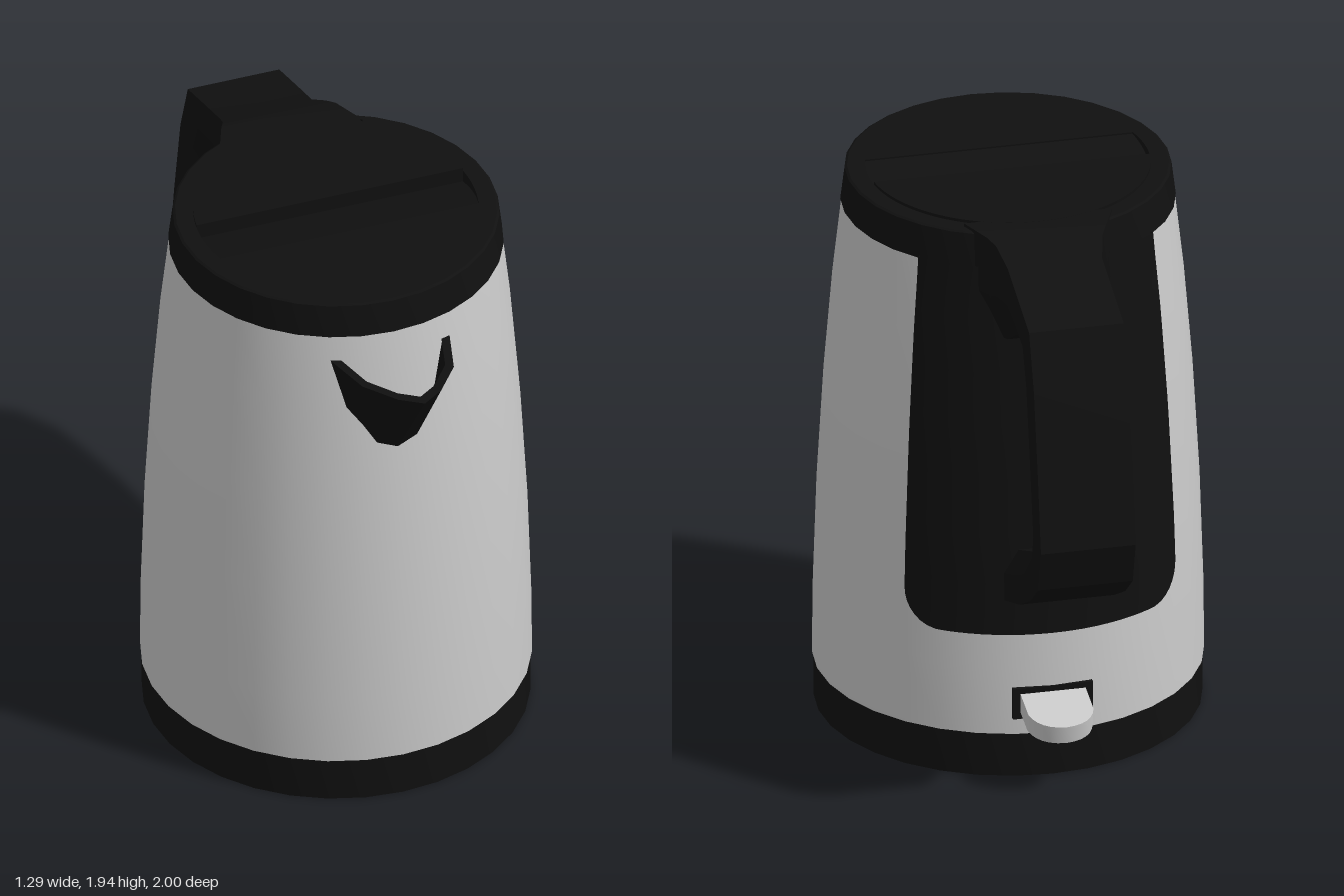
import * as THREE from 'three';
import { toCreasedNormals } from 'three/addons/utils/BufferGeometryUtils.js';

const steel = new THREE.MeshStandardMaterial({ color: 0xcccccc, side: THREE.DoubleSide });
const black = new THREE.MeshStandardMaterial({ color: 0x101010, side: THREE.DoubleSide });
const AXIS_Z = 0.15; // the round body sits forward of the centre

// Outer wall of the jug as [radius, height]
const wall = [[0.645, 0.155], [0.643, 0.4], [0.63, 0.8], [0.607, 1.2], [0.578, 1.55], [0.549, 1.81]];

function wallRadius(y) {
  for (let i = 1; i < wall.length; i++) {
    const [r0, y0] = wall[i - 1], [r1, y1] = wall[i];
    if (y <= y1) return r0 + (r1 - r0) * (y - y0) / (y1 - y0);
  }
  return wall[wall.length - 1][0];
}

// Skin a list of equally long rows of [x, y, z] points
function skin(rows, crease = 0.5) {
  const n = rows[0].length, index = [];
  for (let i = 0; i < rows.length - 1; i++) {
    for (let j = 0; j < n - 1; j++) {
      const a = i * n + j, b = a + n;
      index.push(a, b, a + 1, b, b + 1, a + 1);
    }
  }
  const g = new THREE.BufferGeometry();
  g.setAttribute('position', new THREE.Float32BufferAttribute(rows.flat(2), 3));
  g.setIndex(index);
  return toCreasedNormals(g, crease);
}

function lathe(points) {
  const g = new THREE.LatheGeometry(points.map(([r, y]) => new THREE.Vector2(r, y)), 32);
  return toCreasedNormals(g, 0.5).translate(0, 0, AXIS_Z);
}

// Horizontal slab; the shape's y runs towards the back
function slab(shape, y0, y1) {
  const g = new THREE.ExtrudeGeometry(shape, { depth: y1 - y0, bevelEnabled: false, curveSegments: 32 });
  return toCreasedNormals(g.rotateX(-Math.PI / 2), 0.5).translate(0, y0, AXIS_Z);
}

export function createModel() {
  const model = new THREE.Group();
  const add = (name, geometry, material) => {
    const mesh = new THREE.Mesh(geometry, material);
    mesh.name = name;
    model.add(mesh);
    return mesh;
  };

  // Base, steel jug and collar
  add('base', lathe([[0, 0], [0.64, 0], [0.64, 0.16], [0.6, 0.16]]), black);
  add('jug', lathe([[0.6, 0.155], ...wall]), steel);
  add('collar', lathe([[0.53, 1.81], [0.552, 1.81], [0.538, 1.925], [0.53, 1.93], [0.5, 1.93]]), black);

  // Lid: disc with a finger recess, raised rear plate, sloping recess floor
  const disc = new THREE.Shape().absarc(0, 0, 0.52, 0, Math.PI * 2);
  const r = 0.47, rear = Math.asin(0.06 / r), front = Math.asin(0.13 / r);
  const recess = new THREE.Path();
  recess.absarc(0, 0, r, -front, rear);
  recess.absarc(0, 0, r, Math.PI - rear, Math.PI + front);
  recess.closePath();
  disc.holes.push(recess);
  add('lid', slab(disc, 1.86, 1.93), black);
  const plate = new THREE.Shape().absarc(0, 0, r, rear, Math.PI - rear);
  add('lidPlate', slab(plate, 1.88, 1.94), black);
  const ramp = add('lidRecess', new THREE.BoxGeometry(0.96, 0.02, 0.21), black);
  ramp.position.set(0, 1.895, 0.185);
  ramp.rotation.x = -0.2;

  // Back panel wrapped round the rear of the jug, lower corners rounded
  const half = Math.PI / 4, cols = 32, levels = 14, corner = 0.13;
  const panelRows = [];
  for (let i = -1; i <= cols + 1; i++) {
    const t = Math.min(Math.max(i / cols, 0), 1);
    const a = half * Math.sin((t - 0.5) * Math.PI);
    const over = Math.max(0, Math.abs(a) * 0.63 - (half * 0.63 - corner));
    const bottom = 0.52 + corner - Math.sqrt(Math.max(0, corner * corner - over * over));
    const row = [];
    for (let j = -1; j <= levels; j++) {
      const y = bottom + (1.82 - bottom) * Math.max(j, 0) / levels;
      const edge = i < 0 || i > cols || j < 0;
      const rad = wallRadius(y) + (edge ? -0.015 : 0.012);
      row.push([Math.sin(a) * rad, y, AXIS_Z - Math.cos(a) * rad]);
    }
    panelRows.push(row);
  }
  add('backPanel', skin(panelRows), black);

  // Handle: sections of [outer z, outer y, inner z, inner y, half width]
  const sections = [
    [-0.28, 1.94, -0.34, 1.56, 0.25], [-0.40, 1.938, -0.44, 1.58, 0.2],
    [-0.44, 1.925, -0.46, 1.6, 0.18], [-0.52, 1.88, -0.5, 1.628, 0.16],
    [-0.66, 1.84, -0.58, 1.635, 0.16], [-0.83, 1.79, -0.66, 1.62, 0.16],
    [-0.9, 1.6, -0.7, 1.55, 0.16], [-0.96, 1.3, -0.745, 1.34, 0.16],
    [-1, 1.06, -0.8, 1.08, 0.16], [-0.96, 0.91, -0.79, 1.0, 0.16],
    [-0.85, 0.82, -0.67, 0.91, 0.16], [-0.69, 0.73, -0.58, 0.87, 0.16],
    [-0.49, 0.65, -0.49, 0.83, 0.16], [-0.4, 0.62, -0.4, 0.8, 0.16],
  ];
  const handleRows = sections.map(([oz, oy, iz, iy, w]) => {
    const mz = oz + (iz - oz) * 0.55, my = oy + (iy - oy) * 0.55;
    return [[w, oy, oz], [w, my, mz], [w * 0.7, iy, iz], [-w * 0.7, iy, iz],
      [-w, my, mz], [-w, oy, oz], [w, oy, oz]];
  });
  add('handle', skin(handleRows, 0.35), black);

  // Spout: open wedge from the rim down to the jug wall, with a thick lip
  const rimHalf = [[0.21, 0.66], [0.16, 0.84], [0.075, 0.95], [0, 1]];
  const footHalf = [[0.21, 1.72], [0.165, 1.54], [0.07, 1.395], [0, 1.365]];
  const mirror = (pts) => [...pts, ...pts.slice(0, -1).reverse().map(([x, v]) => [-x, v])];
  const onWall = (x, y) => [x, y, AXIS_Z - 0.005 + Math.sqrt(wallRadius(y) ** 2 - x * x)];
  const rim = mirror(rimHalf), foot = mirror(footHalf);
  add('spout', skin([
    foot.map(([x, y]) => onWall(x, y)),
    rim.map(([x, z]) => [x, 1.72, z]),
    rim.map(([x, z]) => [x * 0.86, 1.72, 0.66 + (z - 0.66) * 0.88]),
    foot.map(([x, y]) => onWall(x * 0.86, 1.72 + (y - 1.72) * 0.88)),
  ], 0.3), black);

  // Switch slot and tilted lever with a rounded end
  const slot = add('switchSlot', new THREE.BoxGeometry(0.27, 0.11, 0.06), black);
  slot.position.set(0, 0.27, -0.466);
  const tab = new THREE.Shape();
  tab.moveTo(-0.11, 0);
  tab.lineTo(0.11, 0);
  tab.lineTo(0.11, 0.16);
  tab.quadraticCurveTo(0.09, 0.24, 0, 0.245);
  tab.quadraticCurveTo(-0.09, 0.24, -0.11, 0.16);
  const tabGeometry = new THREE.ExtrudeGeometry(tab, { depth: 0.065, bevelEnabled: false, curveSegments: 6 });
  const lever = add('switchLever', toCreasedNormals(tabGeometry.rotateX(-Math.PI / 2), 0.5), steel);
  lever.position.set(0, 0.25, -0.44);
  lever.rotation.x = -0.2;

  return model;
}
